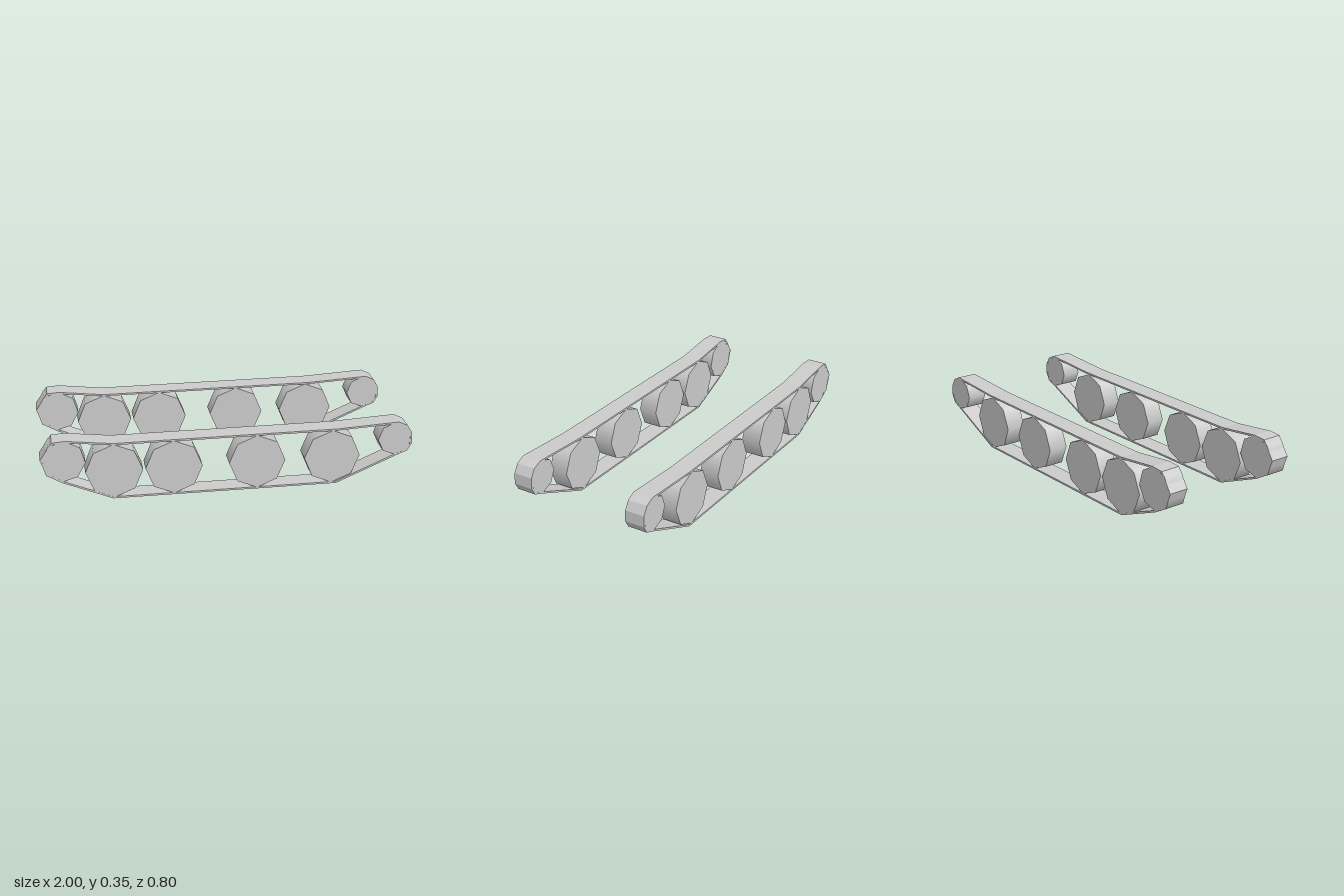
import * as THREE from 'three';

const WIDTH = 0.11, BAND = 0.01;

// Outer track outline, clockwise from the raised -x end
const OUTLINE = [
  [-0.935, 0.342], [-0.865, 0.347], [-0.62, 0.318], [0.0, 0.319], [0.58, 0.32],
  [0.92, 0.338], [0.97, 0.315], [0.997, 0.27], [1.0, 0.21], [0.975, 0.167],
  [0.915, 0.143], [0.585, 0.0], [-0.625, 0.0], [-0.89, 0.11], [-0.968, 0.157], [-1.0, 0.245],
].map(([x, y]) => new THREE.Vector2(x, y));

// [name, x, y, radius, rotation of the octagon]
const WHEELS = [
  ['idlerWheel', -0.88, 0.23, 0.117, -0.11],
  ['roadWheel', -0.615, 0.159, 0.152, 0],
  ['roadWheel', -0.298, 0.159, 0.152, 0],
  ['roadWheel', 0.149, 0.159, 0.152, 0],
  ['roadWheel', 0.558, 0.159, 0.152, 0],
  ['driveWheel', 0.905, 0.242, 0.094, 0.03],
];

// Move each corner inward along its mitre
function inset(points, d) {
  const n = points.length;
  return points.map((p, i) => {
    const a = p.clone().sub(points[(i + n - 1) % n]).normalize();
    const b = points[(i + 1) % n].clone().sub(p).normalize();
    const na = new THREE.Vector2(a.y, -a.x), nb = new THREE.Vector2(b.y, -b.x);
    const m = na.clone().add(nb).normalize();
    return p.clone().addScaledVector(m, d / m.dot(na));
  });
}

function createTrack(name, material) {
  const track = new THREE.Group();
  track.name = name;

  // Thin closed belt; the hole winds the other way so its wall faces the wheels
  const shape = new THREE.Shape(OUTLINE);
  shape.holes.push(new THREE.Path(inset(OUTLINE, BAND).reverse()));
  const beltGeo = new THREE.ExtrudeGeometry(shape, { depth: WIDTH, bevelEnabled: false });
  beltGeo.translate(0, 0, -WIDTH / 2);
  const belt = new THREE.Mesh(beltGeo, material);
  belt.name = 'belt';
  track.add(belt);

  // Eight-sided wheels with soft-shaded rims
  for (const [wheelName, x, y, r, turn] of WHEELS) {
    const geo = new THREE.CylinderGeometry(r, r, WIDTH - 0.001, 8);
    geo.rotateX(Math.PI / 2);
    geo.rotateZ(turn);
    const wheel = new THREE.Mesh(geo, material);
    wheel.name = wheelName;
    wheel.position.set(x, y, 0);
    track.add(wheel);
  }
  return track;
}

export function createModel() {
  const model = new THREE.Group();
  model.name = 'trackPair';
  const material = new THREE.MeshStandardMaterial({ color: 0xcccccc });
  for (const [name, side] of [['frontTrack', 1], ['backTrack', -1]]) {
    const track = createTrack(name, material);
    track.position.z = side * 0.345;
    model.add(track);
  }
  return model;
}
